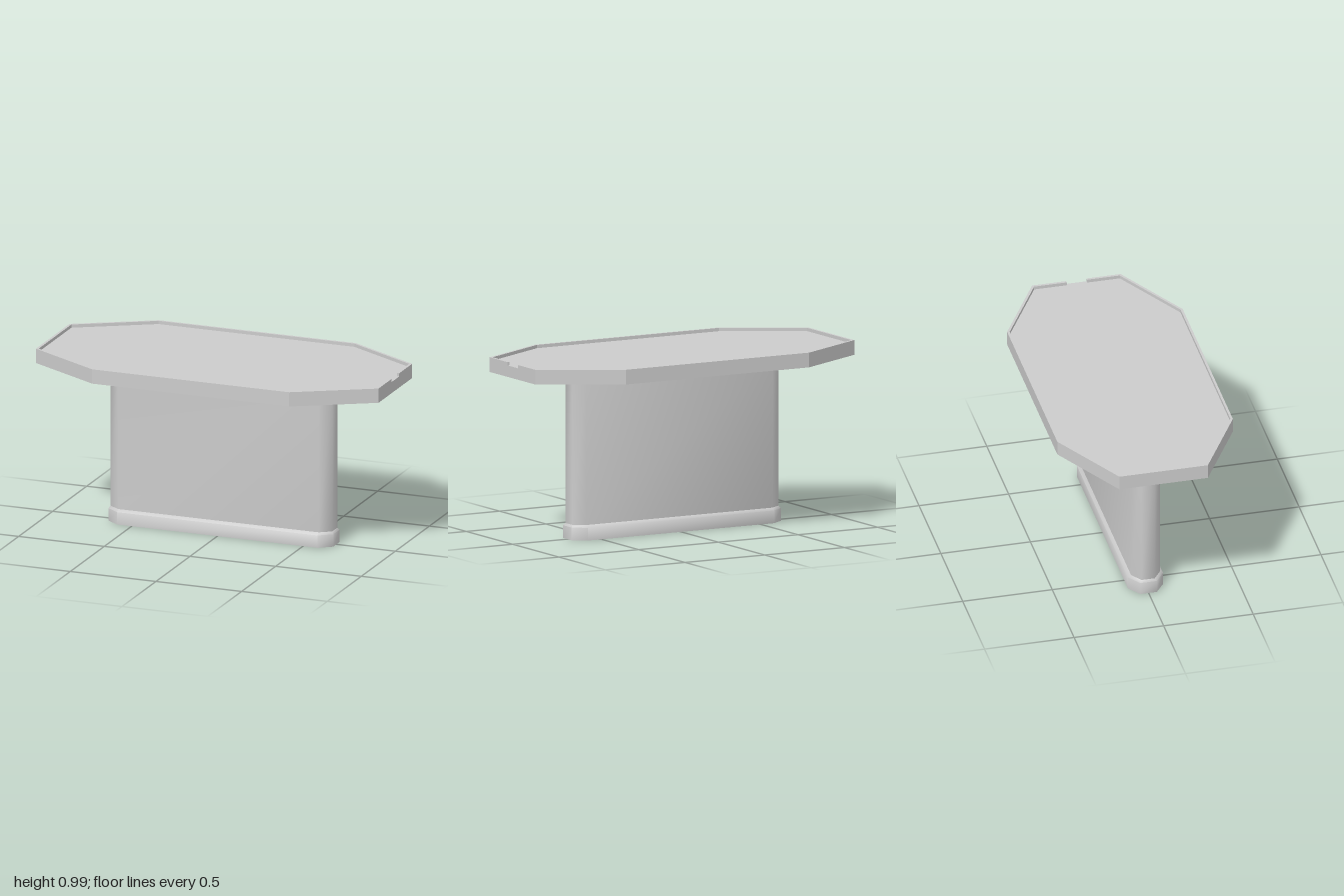
import * as THREE from 'three';
import { toCreasedNormals } from 'three/addons/utils/BufferGeometryUtils.js';

const grey = new THREE.MeshStandardMaterial({ color: 0xcccccc });
const greyDouble = new THREE.MeshStandardMaterial({ color: 0xcccccc, side: THREE.DoubleSide });

// Octagon as [x, z] corners: half sizes x, z; the end edge reaches ez, the long edge reaches lx
function octagon(x, z, lx, ez) {
  return [[x, -ez], [x, ez], [lx, z], [-lx, z], [-x, ez], [-x, -ez], [-lx, -z], [lx, -z]];
}

// Side walls through a stack of rings [outline, y], from bottom to top
function loft(rings, crease) {
  const pos = [];
  for (let r = 0; r < rings.length - 1; r++) {
    const [lo, y0] = rings[r];
    const [hi, y1] = rings[r + 1];
    for (let i = 0; i < lo.length; i++) {
      const j = (i + 1) % lo.length;
      const a = [lo[i][0], y0, lo[i][1]], b = [lo[j][0], y0, lo[j][1]];
      const c = [hi[i][0], y1, hi[i][1]], d = [hi[j][0], y1, hi[j][1]];
      pos.push(...a, ...c, ...b, ...b, ...c, ...d);
    }
  }
  const g = new THREE.BufferGeometry();
  g.setAttribute('position', new THREE.Float32BufferAttribute(pos, 3));
  return toCreasedNormals(g, crease);
}

const toShape = (pts) => new THREE.Shape(pts.map(([x, z]) => new THREE.Vector2(x, -z)));

function cap(pts, y, down = false) {
  const g = new THREE.ShapeGeometry(toShape(down ? pts.map(([x, z]) => [x, -z]) : pts));
  return g.rotateX(down ? Math.PI / 2 : -Math.PI / 2).translate(0, y, 0);
}

export function createModel() {
  const model = new THREE.Group();
  const add = (parent, name, geometry, material = grey) => {
    const mesh = new THREE.Mesh(geometry, material);
    mesh.name = name;
    parent.add(mesh);
  };

  const TOP = 0.993, FLOOR = 0.975, EDGE = 0.912, UNDER = 0.896;
  const outer = octagon(1, 0.49, 0.575, 0.247);
  const inner = octagon(0.986, 0.477, 0.571, 0.239);
  const column = octagon(0.647, 0.081, 0.585, 0.037);
  const foot = octagon(0.656, 0.098, 0.585, 0.046);

  // Table top: shallow sloping underside, upright edge and sunken surface
  const tableTop = new THREE.Group();
  tableTop.name = 'tableTop';
  add(tableTop, 'slab', loft([[column, UNDER], [outer, EDGE], [outer, FLOOR]], 0.1));
  add(tableTop, 'surface', cap(outer, FLOOR));

  // Raised rim, interrupted by a notch at the +x end
  const notch = 0.057;
  const rimOutline = [
    [1, notch], ...outer.slice(1), outer[0], [1, -notch],
    [0.986, -notch], inner[0], ...inner.slice(1).reverse(), [0.986, notch],
  ];
  const rim = new THREE.ExtrudeGeometry(toShape(rimOutline), { depth: TOP - FLOOR, bevelEnabled: false });
  add(tableTop, 'rim', rim.rotateX(-Math.PI / 2).translate(0, FLOOR, 0));
  model.add(tableTop);

  // Pedestal: softly shaded eight-sided column flaring into a foot
  const pedestal = new THREE.Group();
  pedestal.name = 'pedestal';
  add(pedestal, 'column', loft([[column, 0.083], [column, UNDER]], 1), greyDouble);
  add(pedestal, 'foot', loft([[foot, 0], [foot, 0.07], [column, 0.083]], 1), greyDouble);

  // Underside of the foot, with a six-sided opening at the -x end
  const sole = [foot[7], foot[0], foot[1], foot[2], foot[3], [-0.51, 0.046], [-0.51, -0.046], foot[6]];
  add(pedestal, 'sole', cap(sole, 0, true), greyDouble);
  model.add(pedestal);

  return model;
}
